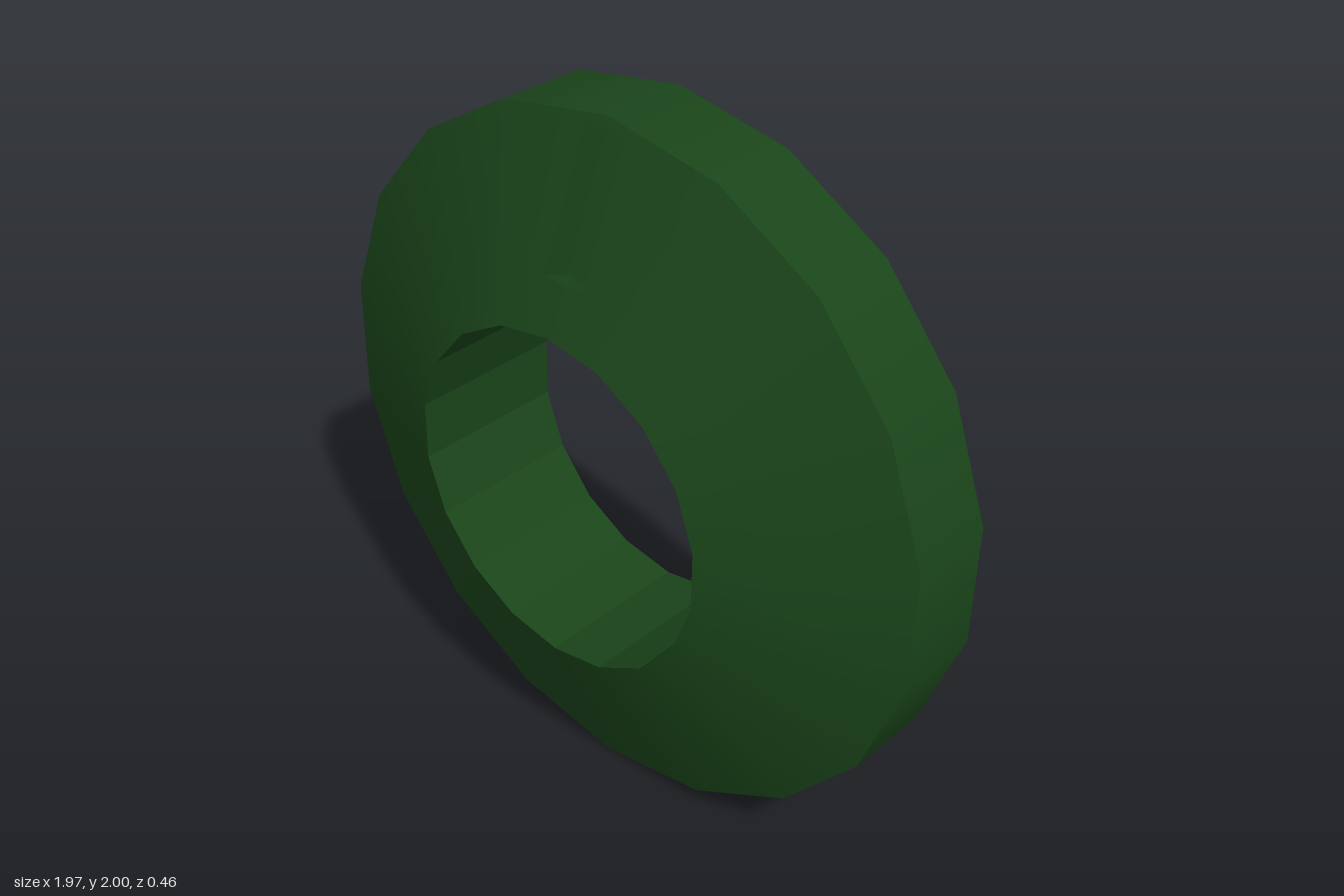
import * as THREE from 'three';
import { mergeGeometries } from 'three/addons/utils/BufferGeometryUtils.js';

const SIDES = 18, R = 1, HOLE = 0.487;
const BACK = -0.23, RIM = 0.02, FRONT = 0.23;
const SLOT = { w: 0.066, low: 0.615, high: 0.97, depth: 0.092 };
const STEP = (2 * Math.PI) / SIDES;
const RISE = FRONT - RIM, RUN = R - HOLE;

// depth of the sloped facet whose middle lies at angle mid
function facetZ(x, y, mid) {
  const d = (x * Math.cos(mid) + y * Math.sin(mid)) / Math.cos(STEP / 2);
  return FRONT - (RISE * (d - HOLE)) / RUN;
}

// sloped front: one trapezoid per side, the two at the top notched for the slot
function slopedFace() {
  const { w, low, high } = SLOT;
  const facets = [];
  for (let k = 0; k < SIDES; k++) {
    const a = Math.PI / 2 + k * STEP, b = a + STEP, mid = a + STEP / 2;
    const at = (r, t) => new THREE.Vector2(r * Math.cos(t), r * Math.sin(t));
    const p = (x, y) => new THREE.Vector2(x, y);
    const pts = [at(R, a), at(R, b)];
    if (k === SIDES - 1) pts.push(p(0, high), p(w, high), p(w, low), p(0, low));
    pts.push(at(HOLE, b), at(HOLE, a));
    if (k === 0) pts.push(p(0, low), p(-w, low), p(-w, high), p(0, high));
    const g = new THREE.ShapeGeometry(new THREE.Shape(pts));
    const pos = g.attributes.position, nor = g.attributes.normal;
    const n = new THREE.Vector3();
    for (let i = 0; i < pos.count; i++) {
      const x = pos.getX(i), y = pos.getY(i), t = Math.atan2(y, x);
      pos.setZ(i, facetZ(x, y, mid));
      n.set(Math.cos(t) * RISE, Math.sin(t) * RISE, RUN).normalize();
      nor.setXYZ(i, n.x, n.y, n.z);
    }
    facets.push(g);
  }
  return mergeGeometries(facets);
}

// recess cut square to the slope: floor, two sides and two ends
function slotWalls() {
  const { w, low, high, depth } = SLOT;
  const mid = Math.PI / 2 - STEP / 2;
  const n = new THREE.Vector3(0, RISE, RUN).normalize();
  const top = (x, y) => new THREE.Vector3(x, y, facetZ(Math.abs(x), y, mid));
  const floor = (x, y) => top(0, y).addScaledVector(n, -depth).setX(x);
  const polygons = [[floor(-w, low), floor(w, low), floor(w, high), floor(-w, high)]];
  for (const s of [-1, 1]) {
    const side = [floor(s * w, low), floor(s * w, high), top(s * w, high), top(s * w, low)];
    polygons.push(s < 0 ? side : side.reverse());
  }
  for (const y of [low, high]) {
    const end = [floor(-w, y), top(-w, y), top(0, y), top(w, y), floor(w, y)];
    polygons.push(y === low ? end : end.reverse());
  }
  const pts = [];
  for (const q of polygons)
    for (let i = 1; i < q.length - 1; i++) pts.push(q[0], q[i], q[i + 1]);
  const g = new THREE.BufferGeometry().setFromPoints(pts);
  g.computeVertexNormals();
  return g;
}

// straight wall around the z axis
function wall(r, z0, z1) {
  const profile = [new THREE.Vector2(r, z0), new THREE.Vector2(r, z1)];
  return new THREE.LatheGeometry(profile, SIDES).rotateX(Math.PI / 2);
}

export function createModel() {
  const group = new THREE.Group();
  const color = 0x1a451a;
  const smooth = new THREE.MeshStandardMaterial({ color, side: THREE.DoubleSide });
  const flat = new THREE.MeshStandardMaterial({ color, side: THREE.DoubleSide, flatShading: true });
  const add = (name, geometry, material) => {
    const mesh = new THREE.Mesh(geometry, material);
    mesh.name = name;
    group.add(mesh);
  };

  add('outerRim', wall(R, BACK, RIM), smooth);
  add('slopedFace', slopedFace(), smooth);
  add('markerSlot', slotWalls(), flat);
  add('centreHole', wall(HOLE, FRONT, BACK), flat);
  add('backFace', new THREE.RingGeometry(HOLE, R, SIDES, 1, Math.PI / 2)
    .rotateY(Math.PI).translate(0, 0, BACK), smooth);

  // stand the ring on the ground
  group.children.forEach((m) => m.geometry.translate(0, R, 0));
  return group;
}
